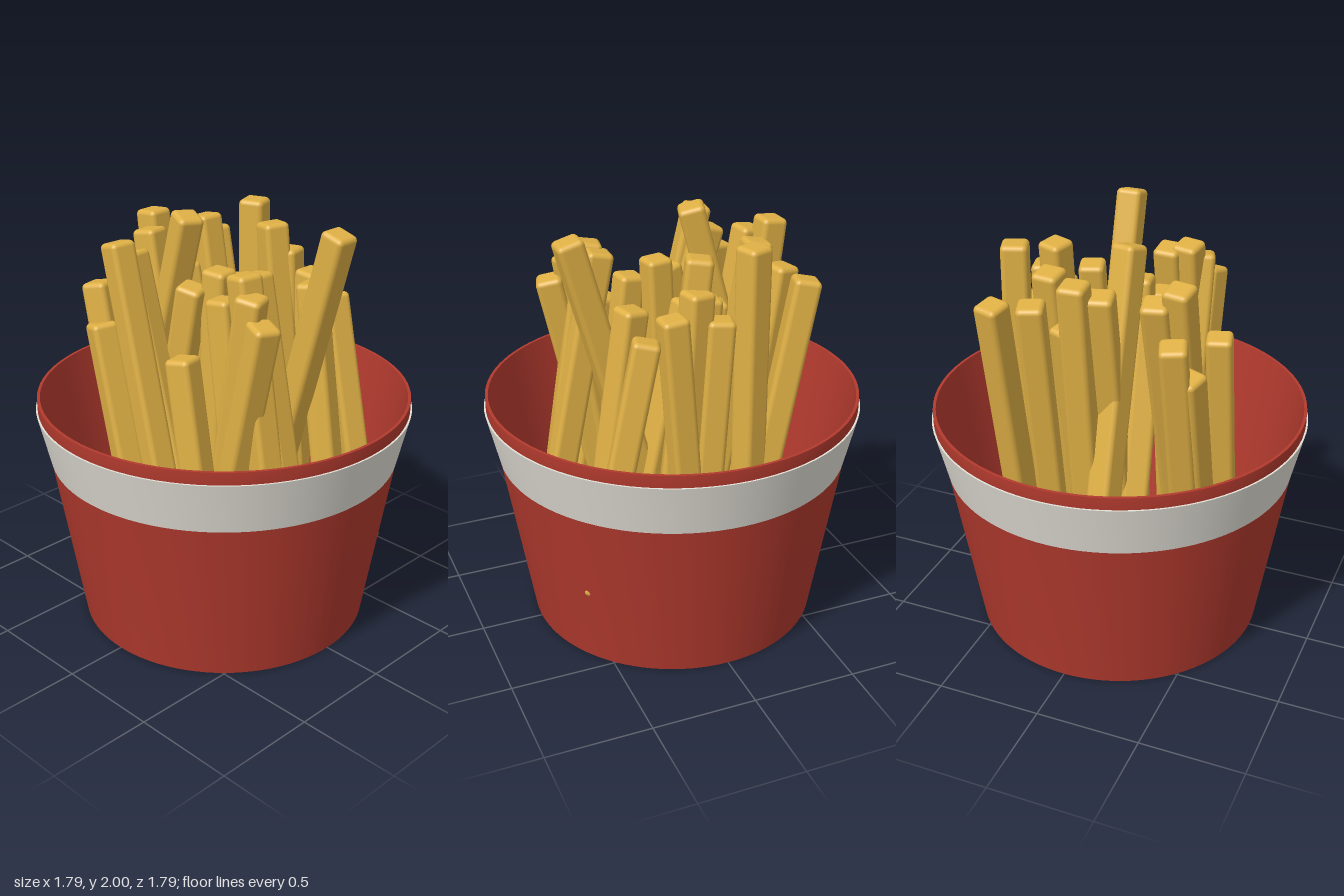
import * as THREE from 'three';
import { toCreasedNormals } from 'three/addons/utils/BufferGeometryUtils.js';
import { RoundedBoxGeometry } from 'three/addons/geometries/RoundedBoxGeometry.js';

const FRY_WIDTH = 0.125;
const FRY_LENGTH = 1.25;
const FRY_ROUNDING = 0.024;

// Each fry: [x, top y, top z, lean], where lean is how far the bottom lies in front of the top
const FRIES = [
  // front group
  [0.16, 2, 0.55, -0.33],
  [-0.43, 1.48, 0.17, 0.2],
  [0.43, 1.6, 0.29, 0.26],
  [0.27, 1.69, 0.3, 0.18],
  [-0.12, 1.83, 0.31, 0.25],
  [-0.21, 1.85, 0.33, 0.2],
  [-0.25, 1.78, 0.42, -0.2],
  [-0.27, 1.68, 0.51, -0.27],
  [-0.16, 1.68, 0.15, 0.15],
  // middle group
  [-0.08, 1.77, 0.05, -0.05],
  [-0.1, 2, -0.13, -0.33],
  [-0.17, 1.7, -0.03, -0.26],
  [0.07, 1.58, -0.18, 0.12],
  [0.18, 1.65, -0.1, 0.12],
  [0.2, 1.66, 0, 0.26],
  [0.32, 1.9, 0, 0.14],
  [0.39, 1.77, 0.04, 0.06],
  [0.42, 1.68, 0.17, -0.1],
  [0.42, 1.64, -0.06, 0.08],
  [0.42, 1.95, -0.21, 0],
  // back group
  [0.41, 1.77, -0.48, 0.24],
  [0.01, 1.93, -0.49, 0.14],
  [-0.08, 1.87, -0.42, 0.22],
  [0.1, 1.67, -0.37, 0.25],
  [0.24, 1.78, -0.44, 0.19],
  [0.2, 1.9, -0.33, 0.21],
  [-0.39, 1.9, -0.29, 0.29],
  [-0.41, 1.69, -0.41, 0.26],
  [-0.46, 1.52, -0.34, 0.29],
  [-0.29, 1.83, -0.31, 0.34],
];

function lathe(name, profile, color) {
  const points = profile.map(([r, y]) => new THREE.Vector2(r, y));
  const geometry = toCreasedNormals(new THREE.LatheGeometry(points, 96), 0.5);
  const material = new THREE.MeshStandardMaterial({ color, side: THREE.DoubleSide });
  const mesh = new THREE.Mesh(geometry, material);
  mesh.name = name;
  return mesh;
}

export function createModel() {
  const model = new THREE.Group();
  model.name = 'friesInCup';

  // Hollow tapered cup with a thin wall, a short upright rim and a flat base
  model.add(lathe('cup', [
    [0, 0], [0.7, 0], [0.836, 0.83], [0.887, 1.09], [0.887, 1.145],
    [0.873, 1.145], [0.69, 0.03], [0, 0.03],
  ], 0xb23a2e));

  // Flared band just under the rim, with a narrow ledge on top
  model.add(lathe('band', [[0.836, 0.83], [0.895, 1.085], [0.88, 1.085]], 0xe2dfd6));

  // Fries: rounded sticks of one length, leaning forwards or backwards
  const fries = new THREE.Group();
  fries.name = 'fries';
  const geometry = new RoundedBoxGeometry(FRY_WIDTH, FRY_LENGTH, FRY_WIDTH, 3, FRY_ROUNDING);
  const material = new THREE.MeshStandardMaterial({ color: 0xdfb045 });
  FRIES.forEach(([x, y, z, lean], i) => {
    const tilt = Math.asin(-lean / FRY_LENGTH);
    const rise = FRY_LENGTH * Math.cos(tilt);
    // lower the end so that its tilted upper corner meets the height y
    const drop = Math.abs(Math.sin(tilt)) * (FRY_WIDTH / 2 - FRY_ROUNDING);
    const fry = new THREE.Mesh(geometry, material);
    fry.name = 'fry';
    fry.position.set(x, y - drop - rise / 2, z + lean / 2);
    fry.rotation.x = tilt;
    fry.rotateY(0.35 * Math.sin(i * 2.4)); // varied twist about its own axis
    fries.add(fry);
  });
  model.add(fries);
  return model;
}
